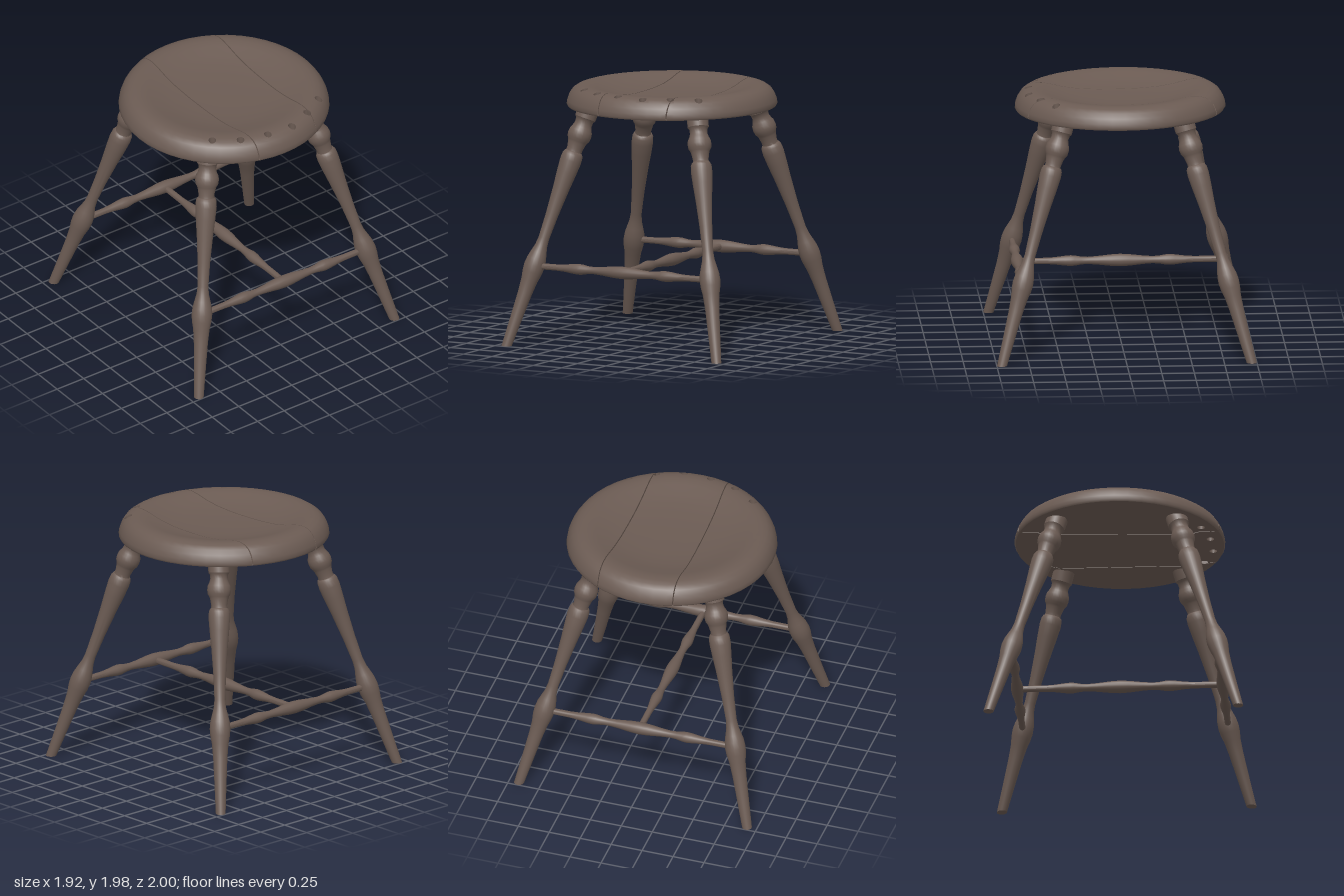
import * as THREE from 'three';
import { mergeGeometries, toCreasedNormals } from 'three/addons/utils/BufferGeometryUtils.js';

const wood = new THREE.MeshStandardMaterial({ color: 0x6b5b53, side: THREE.DoubleSide });
wood.name = 'dark brown wood';

const vec = (list) => list.map(([r, y]) => new THREE.Vector2(r, y));
const part = (name, geometry) => {
  const mesh = new THREE.Mesh(geometry, wood);
  mesh.name = name;
  return mesh;
};

// Seat profile: underside from the centre out, then rim and dished top back in
const UNDER = [[0, 1.79], [0.6, 1.79], [0.66, 1.808], [0.8, 1.812]];
const UPPER = [[0.8, 1.812], [0.81, 1.828], [0.805, 1.86], [0.79, 1.9], [0.765, 1.937], [0.73, 1.96],
  [0.69, 1.971], [0.64, 1.972], [0.58, 1.96], [0.5, 1.937], [0.4, 1.917], [0.28, 1.905], [0.14, 1.9], [0, 1.899]];
const HOLES = [[-0.48, 0.52], [-0.3, 0.64], [-0.085, 0.7], [0.135, 0.71], [0.335, 0.63], [0.52, 0.52]];
const HOLE_R = 0.03, HOLE_SIDES = 12;
const CRACKS = [[-0.238, 0.023], [0.357, -0.01]]; // x = c + k * z
const GAP = 0.004;

// Height of a profile at radius r
function heightAt(profile, r) {
  for (let i = 1; i < profile.length; i++) {
    const [r0, y0] = profile[i - 1], [r1, y1] = profile[i];
    if ((r - r0) * (r - r1) <= 0 && r0 !== r1) return y0 + ((y1 - y0) * (r - r0)) / (r1 - r0);
  }
  return 1.828;
}
const underY = (r) => heightAt(UNDER, r);
const topY = (r) => heightAt(UPPER.slice(1), r);

// Keep the part of a polygon where f >= 0; vertices carry position and normal
function clip(poly, f) {
  const out = [];
  poly.forEach((a, i) => {
    const b = poly[(i + 1) % poly.length], fa = f(a), fb = f(b);
    if (fa >= 0) out.push(a);
    if ((fa > 0 && fb < 0) || (fa < 0 && fb > 0)) {
      const t = fa / (fa - fb);
      out.push(a.map((v, j) => v + (b[j] - v) * t));
    }
  });
  return out.length > 2 ? out : null;
}

// Cut a many-sided round hole out of a polygon
function drill(poly, [hx, hz]) {
  const sides = [];
  for (let i = 0; i < HOLE_SIDES; i++) {
    const a = ((i + 0.5) * 2 * Math.PI) / HOLE_SIDES;
    const d = HOLE_R * Math.cos(Math.PI / HOLE_SIDES);
    sides.push((p) => (p[0] - hx) * Math.sin(a) + (p[2] - hz) * Math.cos(a) - d);
  }
  if (sides.some((f) => poly.every((p) => f(p) >= 0))) return [poly];
  const out = [];
  let rest = poly;
  for (const f of sides) {
    if (!rest) break;
    const outer = clip(rest, f);
    if (outer) out.push(outer);
    rest = clip(rest, (p) => -f(p));
  }
  return out;
}

function toPolys(geometry) {
  const g = geometry.toNonIndexed(), p = g.attributes.position, n = g.attributes.normal, out = [];
  const at = (i) => [p.getX(i), p.getY(i), p.getZ(i), n.getX(i), n.getY(i), n.getZ(i)];
  for (let i = 0; i < p.count; i += 3) out.push([at(i), at(i + 1), at(i + 2)]);
  return out;
}

function fromPolys(polys) {
  const pos = [], nor = [];
  for (const poly of polys) {
    for (let i = 1; i < poly.length - 1; i++) {
      for (const v of [poly[0], poly[i], poly[i + 1]]) {
        pos.push(v[0], v[1], v[2]);
        nor.push(v[3], v[4], v[5]);
      }
    }
  }
  const g = new THREE.BufferGeometry();
  g.setAttribute('position', new THREE.Float32BufferAttribute(pos, 3));
  g.setAttribute('normal', new THREE.Float32BufferAttribute(nor, 3));
  return g;
}

// Upright face of a board along a crack, facing +x or -x
function crackWall([c, k], dir) {
  const x0 = c - dir * GAP, zm = Math.sqrt(0.81 ** 2 - c * c) - 0.002, steps = 40, polys = [];
  const column = (i) => {
    const z = -zm + (2 * zm * i) / steps, x = x0 + k * z, r = Math.min(Math.hypot(x, z), 0.81);
    return [underY(r), topY(r)].map((y) => [x, y, z, dir, 0, 0]);
  };
  for (let i = 0; i < steps; i++) {
    const [a, b] = column(i), [d, e] = column(i + 1);
    polys.push(dir > 0 ? [a, b, e, d] : [d, e, b, a]);
  }
  return polys;
}

function makeSeat() {
  const seat = new THREE.Group();
  seat.name = 'seat';
  let skin = [UNDER, UPPER].flatMap((pts) => toPolys(new THREE.LatheGeometry(vec(pts), 48)));
  for (const h of HOLES) skin = skin.flatMap((p) => drill(p, h));

  // Three boards split by the two cracks
  ['rightBoard', 'middleBoard', 'leftBoard'].forEach((name, i) => {
    let polys = skin;
    const walls = [];
    const cut = (crack, dir) => {
      const f = (p) => -dir * (p[0] - crack[0] - crack[1] * p[2]) - GAP;
      polys = polys.map((p) => clip(p, f)).filter(Boolean);
      walls.push(...crackWall(crack, dir));
    };
    if (i > 0) cut(CRACKS[i - 1], -1);
    if (i < 2) cut(CRACKS[i], 1);
    seat.add(part(name, fromPolys([...polys, ...walls])));
  });

  // Linings of the drilled holes
  const linings = HOLES.map(([hx, hz]) => {
    const g = new THREE.CylinderGeometry(HOLE_R, HOLE_R, 1, HOLE_SIDES, 1, true);
    const p = g.attributes.position;
    for (let i = 0; i < p.count; i++) {
      const x = p.getX(i) + hx, z = p.getZ(i) + hz, r = Math.hypot(x, z);
      p.setXYZ(i, x, p.getY(i) > 0 ? topY(r) : underY(r), z);
    }
    return g;
  });
  seat.add(part('holeLinings', mergeGeometries(linings)));
  seat.rotation.x = 0.008;
  seat.position.z = -0.015;
  return seat;
}

// Turned leg: [radius, height], leaning outward, with the foot cut level
const LEG = [[0, 0], [0.038, 0], [0.046, 0.2], [0.055, 0.4], [0.064, 0.5], [0.076, 0.56], [0.08, 0.61], [0.075, 0.66],
  [0.062, 0.71], [0.048, 0.76], [0.042, 0.82], [0.049, 1.0], [0.064, 1.2], [0.076, 1.32], [0.083, 1.41],
  [0.08, 1.455], [0.07, 1.475], [0.062, 1.48], [0.061, 1.5], [0.07, 1.545], [0.075, 1.56], [0.088, 1.58],
  [0.092, 1.61], [0.088, 1.64], [0.075, 1.665], [0.067, 1.69], [0.07, 1.72], [0.082, 1.735], [0.083, 1.84], [0, 1.84]];

function makeLeg(sx, sz) {
  const lean = new THREE.Vector3(-0.245 * sx, 1, -0.277 * sz);
  const stretch = lean.length(), axis = lean.clone().normalize();
  const g = new THREE.LatheGeometry(vec(LEG.map(([r, y]) => [r, y * stretch])), 24);
  const turn = new THREE.Quaternion().setFromUnitVectors(new THREE.Vector3(0, 1, 0), axis);
  const p = g.attributes.position, v = new THREE.Vector3();
  for (let i = 0; i < p.count; i++) {
    v.fromBufferAttribute(p, i);
    const foot = v.y < 0.001;
    v.applyQuaternion(turn);
    if (foot) v.addScaledVector(lean, -v.y);
    p.setXYZ(i, v.x + 0.92 * sx, v.y, v.z + 0.96 * sz);
  }
  return toCreasedNormals(g, 0.6);
}

// Turned stretcher, mirrored about its middle
function makeStretcher(half) {
  const side = [[0.049, 0], [0.045, 0.07], [0.033, 0.18], [0.028, 0.25], [0.031, 0.3], [0.04, 0.35], [0.042, 0.38],
    [0.039, 0.42], [0.029, 0.5], [0.025, 0.56], [0.024, half], [0, half]];
  const mirrored = side.slice(1).reverse().map(([r, y]) => [r, -y]);
  return toCreasedNormals(new THREE.LatheGeometry(vec([...mirrored, ...side]), 16), 0.6);
}

export function createModel() {
  const stool = new THREE.Group();
  stool.name = 'stool';
  stool.add(makeSeat());
  for (const [zName, sz] of [['front', 1], ['back', -1]]) {
    for (const [xName, sx] of [['Left', 1], ['Right', -1]]) stool.add(part(`${zName}${xName}Leg`, makeLeg(sx, sz)));
    const bar = part(`${zName}Stretcher`, makeStretcher(0.76));
    bar.rotation.z = Math.PI / 2;
    bar.position.set(0, 0.61, 0.79 * sz);
    stool.add(bar);
  }
  const cross = part('crossStretcher', makeStretcher(0.78));
  cross.rotation.x = Math.PI / 2;
  cross.position.y = 0.61;
  stool.add(cross);
  return stool;
}
